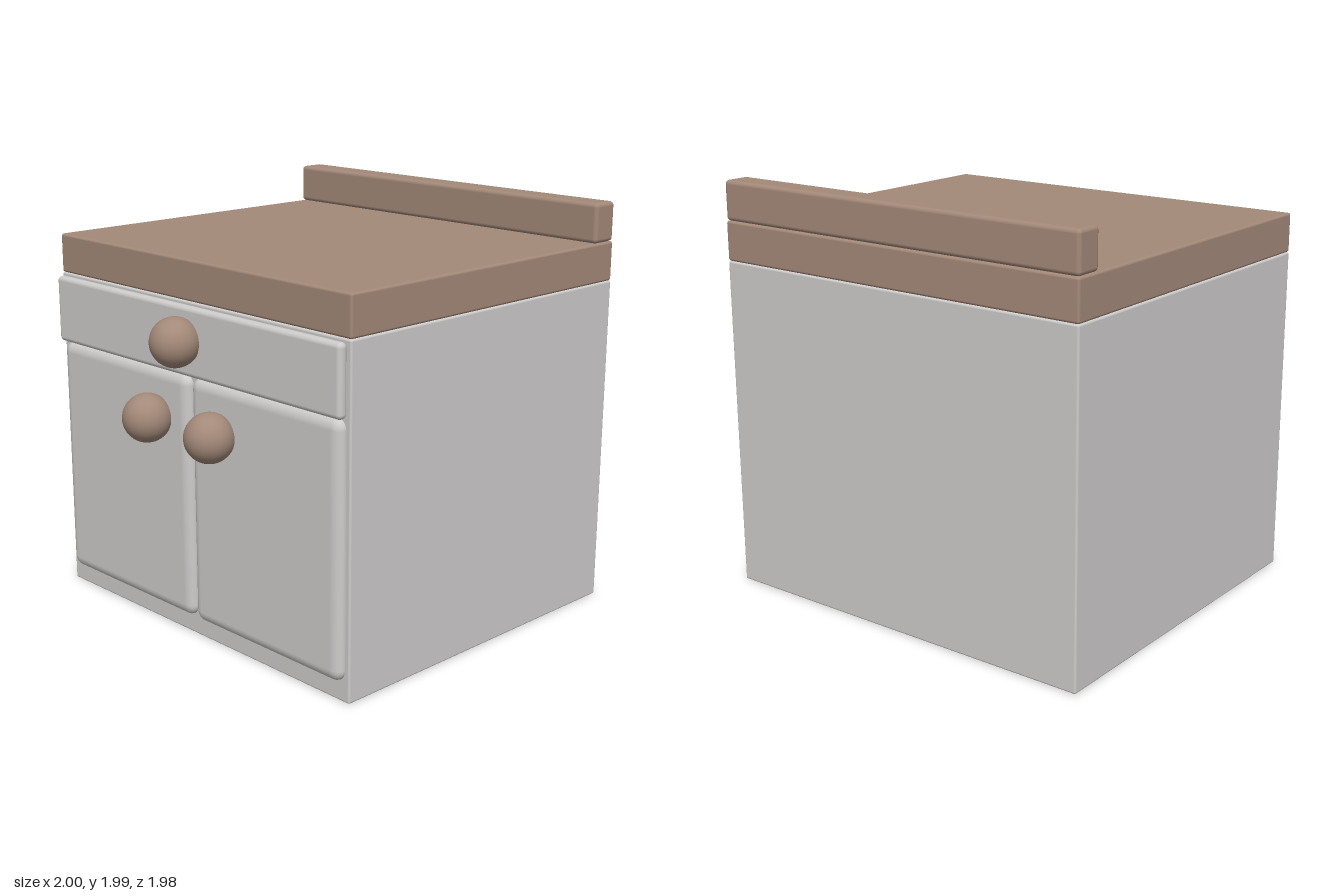
import * as THREE from 'three';
import { RoundedBoxGeometry } from 'three/addons/geometries/RoundedBoxGeometry.js';

export function createModel() {
  const group = new THREE.Group();
  const paint = new THREE.MeshStandardMaterial({ color: 0xcecccb });
  paint.name = 'greyPaint';
  const wood = new THREE.MeshStandardMaterial({ color: 0xa38979 });
  wood.name = 'brownWood';

  function add(name, geometry, material, x, y, z) {
    const mesh = new THREE.Mesh(geometry, material);
    mesh.name = name;
    mesh.position.set(x, y, z);
    group.add(mesh);
    return mesh;
  }

  // Rounded block given by its lower and upper limits on each axis
  function block(name, material, [x0, x1], [y0, y1], [z0, z1], radius) {
    const geometry = new RoundedBoxGeometry(x1 - x0, y1 - y0, z1 - z0, 3, radius);
    return add(name, geometry, material, (x0 + x1) / 2, (y0 + y1) / 2, (z0 + z1) / 2);
  }

  // Cabinet, worktop and raised back edge
  block('cabinetBody', paint, [-1, 1], [0, 1.61], [-0.99, 0.77], 0.01);
  block('worktop', wood, [-1, 1], [1.61, 1.8], [-0.99, 0.77], 0.012);
  block('backsplash', wood, [-1, 1], [1.8, 1.99], [-0.99, -0.85], 0.02);

  // Drawer front
  block('drawerFront', paint, [-0.98, 0.985], [1.275, 1.6], [0.77, 0.82], 0.023);

  // Doors with wide soft edges, their rear half sunk into the cabinet
  for (const [name, x0, x1] of [['rightDoor', -0.965, -0.003], ['leftDoor', 0.013, 0.975]]) {
    const door = block(name, paint, [x0, x1], [0.095, 1.275], [0.715, 0.825], 0.054);
    door.scale.z = 0.75;
  }

  // Round knobs
  const knob = new THREE.SphereGeometry(0.116, 32, 24);
  add('drawerKnob', knob, wood, 0, 1.445, 0.875);
  add('rightDoorKnob', knob, wood, -0.218, 1.05, 0.875);
  add('leftDoorKnob', knob, wood, 0.226, 1.05, 0.875);

  return group;
}
